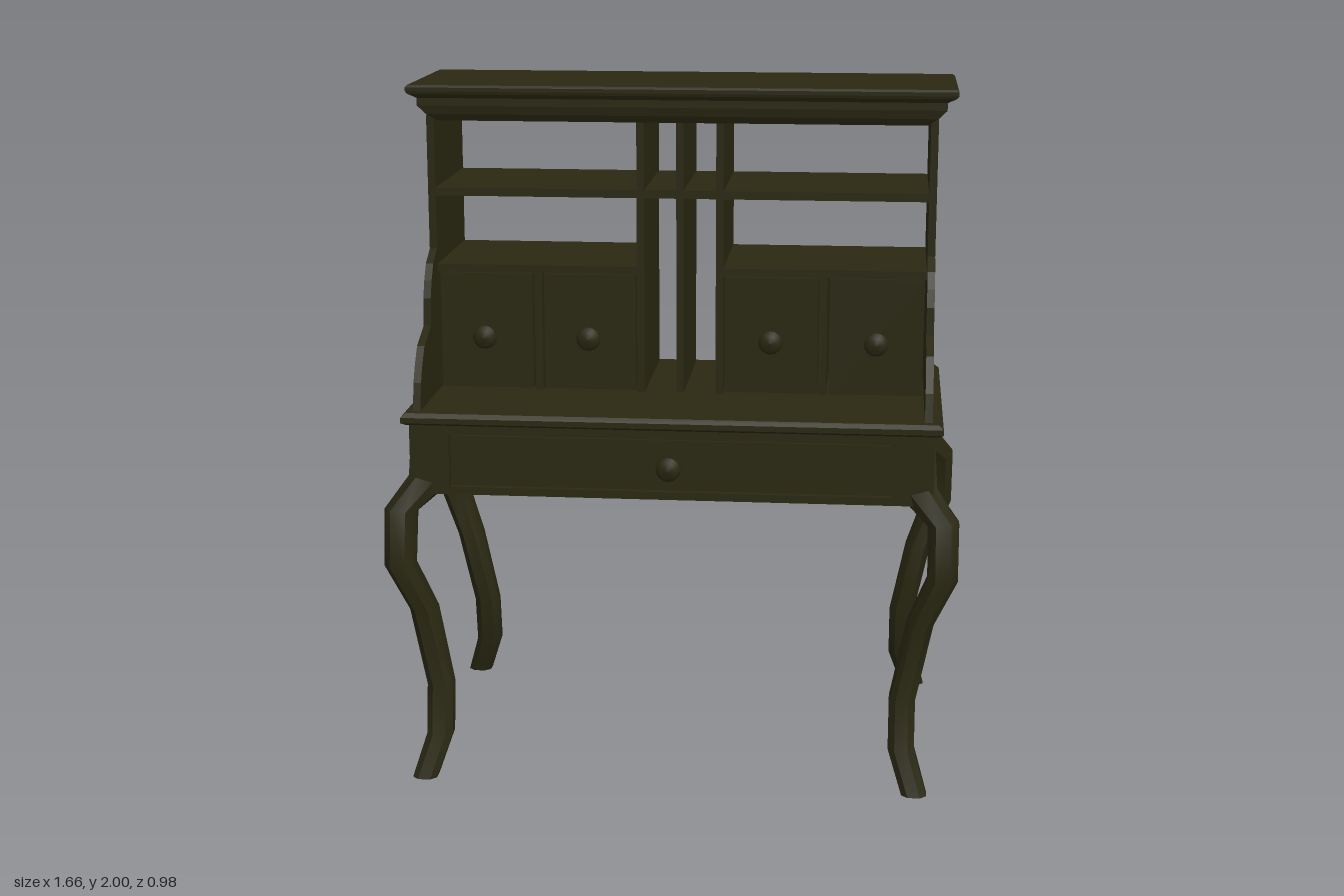
import * as THREE from 'three';
import { toCreasedNormals } from 'three/addons/utils/BufferGeometryUtils.js';

const wood = new THREE.MeshStandardMaterial({ color: 0x2a2812 });
wood.name = 'dark walnut';

// Skin a stack of equal-length loops (counterclockwise seen from above, bottom to top), capped
function loft(loops, crease) {
  const n = loops[0].length, pos = loops.flat(2), idx = [];
  for (let r = 0; r < loops.length - 1; r++) {
    for (let i = 0; i < n; i++) {
      const a = r * n + i, b = r * n + (i + 1) % n;
      idx.push(a, b, b + n, a, b + n, a + n);
    }
  }
  const top = (loops.length - 1) * n;
  for (let i = 1; i < n - 1; i++) idx.push(0, i + 1, i, top, top + i, top + i + 1);
  const g = new THREE.BufferGeometry();
  g.setAttribute('position', new THREE.Float32BufferAttribute(pos, 3));
  g.setIndex(idx);
  return toCreasedNormals(g, crease);
}

// Moulded slab from rows of [y, half width, back z, front z]
const moulding = rows => loft(rows.map(([y, x, b, f]) =>
  [[-x, y, f], [x, y, f], [x, y, b], [-x, y, b]]), 0.2);

export function createModel() {
  const model = new THREE.Group();
  model.name = 'writingDesk';

  const add = (name, geometry, parent = model) => {
    const m = new THREE.Mesh(geometry, wood);
    m.name = name;
    parent.add(m);
    return m;
  };
  const box = (name, x0, x1, y0, y1, z0, z1) => {
    const m = add(name, new THREE.BoxGeometry(x1 - x0, y1 - y0, z1 - z0));
    m.position.set((x0 + x1) / 2, (y0 + y1) / 2, (z0 + z1) / 2);
    return m;
  };

  // Turned knob pointing to +z
  const knobProfile = [[0, 0], [0.022, 0], [0.022, 0.006], [0.011, 0.014], [0.011, 0.032],
    [0.027, 0.038], [0.036, 0.047], [0.034, 0.056], [0.022, 0.065], [0, 0.069]];
  const knobGeometry = new THREE.LatheGeometry(
    knobProfile.map(p => new THREE.Vector2(...p)), 16).rotateX(Math.PI / 2);
  const knob = (x, y, z) => add('knob', knobGeometry).position.set(x, y, z);

  // Cabriole legs: [y, centre x, centre z, half x, half z], chamfered square section
  const legRows = [
    [0, 0.72, 0.452, 0.036, 0.036], [0.125, 0.68, 0.41, 0.038, 0.037],
    [0.27, 0.68, 0.386, 0.038, 0.038], [0.5, 0.727, 0.374, 0.038, 0.05],
    [0.645, 0.786, 0.411, 0.043, 0.05], [0.8, 0.785, 0.382, 0.044, 0.053],
    [0.875, 0.715, 0.335, 0.05, 0.05], [1.05, 0.7, 0.32, 0.055, 0.055],
  ];
  const legGeometry = loft(legRows.map(([y, x, z, a, b], i) => {
    // the shoulder tilts so the knee keeps its thickness
    const tilt = i === 6 ? 0.6 : i === 5 ? 0.25 : 0;
    const c = 0.5;
    return [[-c, 1], [c, 1], [1, c], [1, -c], [c, -1], [-c, -1], [-1, -c], [-1, c]]
      .map(([u, v]) => [x + u * a, y + tilt * (u * a + v * b) * 0.5, z + v * b]);
  }), 0.7);
  for (const sx of [1, -1]) {
    for (const sz of [1, -1]) add('leg', legGeometry).scale.set(sx, 1, sz);
  }

  // Apron with a recessed drawer in the front frame
  box('apron', -0.755, 0.755, 0.85, 1.06, -0.375, 0.365);
  const frame = new THREE.Shape([[-0.755, 0.85], [0.755, 0.85], [0.755, 1.06], [-0.755, 1.06]]
    .map(p => new THREE.Vector2(...p)));
  frame.holes.push(new THREE.Path([[-0.64, 0.873], [-0.64, 1.03], [0.64, 1.03], [0.64, 0.873]]
    .map(p => new THREE.Vector2(...p))));
  add('apronFrame', new THREE.ExtrudeGeometry(frame, { depth: 0.02, bevelEnabled: false }))
    .position.z = 0.365;
  box('deskDrawer', -0.632, 0.632, 0.879, 1.024, 0.35, 0.376);
  knob(0, 0.95, 0.372);

  // Desk top with a softened edge
  add('deskTop', moulding([[1.055, 0.765, -0.385, 0.385], [1.062, 0.778, -0.398, 0.396],
    [1.078, 0.778, -0.398, 0.396], [1.09, 0.765, -0.385, 0.385]]));

  // Stepped side panels, profile as [z, y]
  const side = new THREE.Shape([[-0.366, 1.085], [0.362, 1.085], [0.342, 1.17], [0.315, 1.22],
    [0.28, 1.265], [0.18, 1.305], [0.175, 1.385], [0.155, 1.435], [0.125, 1.48],
    [0.064, 1.515], [0.064, 1.91], [-0.366, 1.91]].map(p => new THREE.Vector2(...p)));
  const sideGeometry = new THREE.ExtrudeGeometry(side, { depth: 0.022, bevelEnabled: false })
    .rotateY(-Math.PI / 2);
  for (const x of [-0.725, 0.747]) add('sidePanel', sideGeometry).position.x = x;

  // Open shelving
  const back = -0.364, front = 0.06;
  box('upperShelf', -0.73, 0.73, 1.673, 1.697, back, front);
  for (const x of [-0.117, 0, 0.117]) {
    box('divider', x - 0.011, x + 0.011, 1.085, 1.91, back, front);
  }
  for (const s of [-1, 1]) {
    const span = (name, a, b, y0, y1, z0, z1) =>
      box(name, Math.min(s * a, s * b), Math.max(s * a, s * b), y0, y1, z0, z1);
    span('lowerShelf', 0.117, 0.735, 1.445, 1.468, back, front);
    span('drawerDivider', 0.412, 0.435, 1.085, 1.45, back, front);
    // Small drawers with knobs
    for (const [a, b] of [[0.133, 0.408], [0.443, 0.72]]) {
      span('smallDrawer', a, b, 1.092, 1.44, back + 0.012, front - 0.012);
      knob(s * (a + b) / 2, 1.255, 0.046);
    }
  }

  // Crown moulding
  add('crown', moulding([[1.895, 0.715, -0.366, 0.064], [1.915, 0.745, -0.374, 0.076],
    [1.94, 0.77, -0.378, 0.082], [1.962, 0.77, -0.378, 0.082], [1.974, 0.795, -0.392, 0.09],
    [1.982, 0.802, -0.398, 0.092], [1.993, 0.802, -0.398, 0.092], [2, 0.795, -0.392, 0.09]]));

  return model;
}
